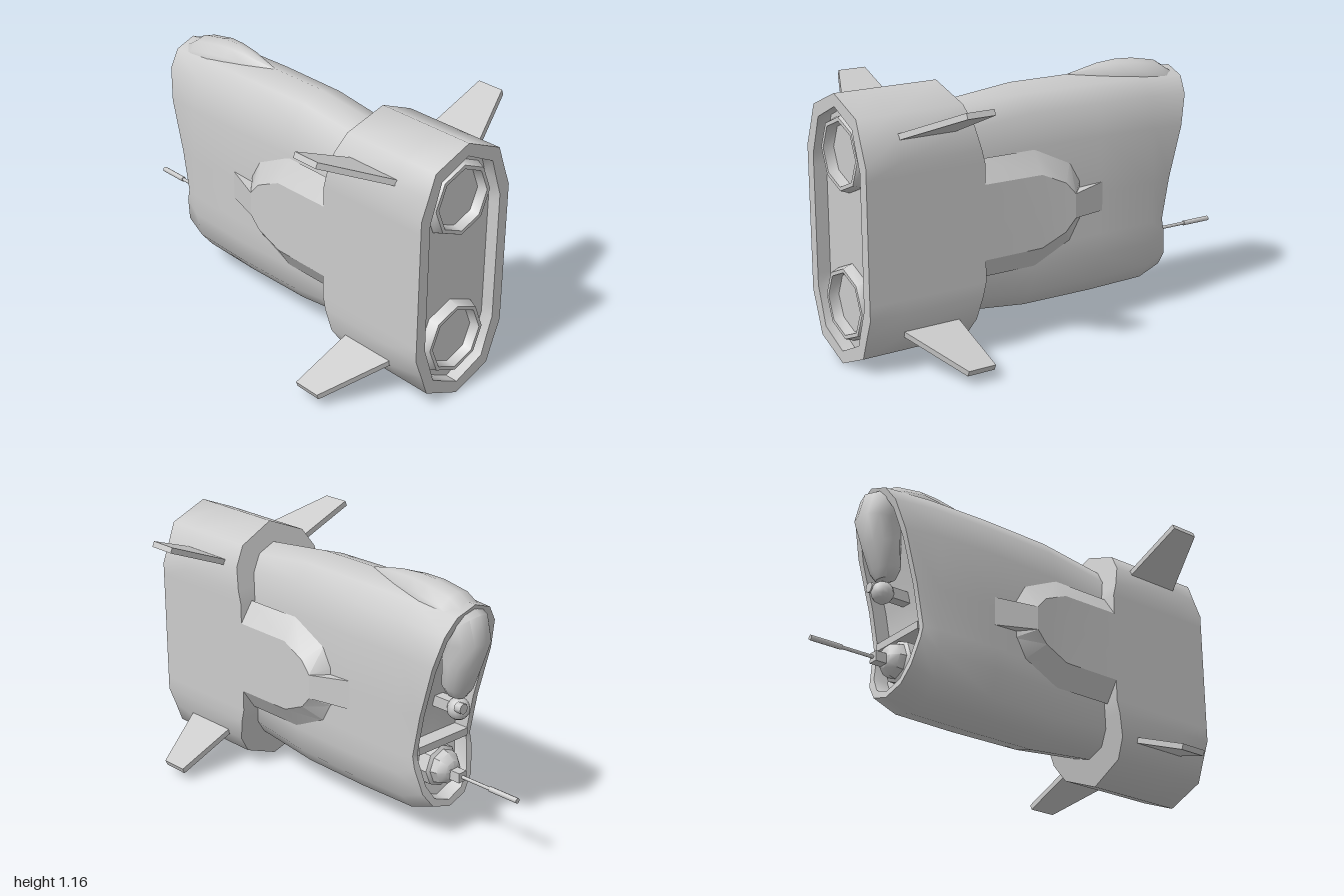
import * as THREE from 'three';
import { toCreasedNormals } from 'three/addons/utils/BufferGeometryUtils.js';

const MAT = new THREE.MeshStandardMaterial({ color: 0xcccccc, side: THREE.DoubleSide });

// Skin a list of closed rings of [x, y, z]; faces are turned outward by signed volume
function loft(rings, crease = 0.85) {
  const n = rings[0].length, tris = [];
  for (let r = 0; r < rings.length - 1; r++) {
    for (let i = 0; i < n; i++) {
      const j = (i + 1) % n;
      const a = rings[r][i], b = rings[r][j], c = rings[r + 1][j], d = rings[r + 1][i];
      tris.push([a, b, c], [a, c, d]);
    }
  }
  const V = (p) => new THREE.Vector3(...p);
  let volume = 0;
  for (const [a, b, c] of tris) volume += V(a).dot(V(b).cross(V(c)));
  const pos = tris.flatMap(([a, b, c]) => (volume > 0 ? [a, b, c] : [a, c, b])).flat();
  const g = new THREE.BufferGeometry();
  g.setAttribute('position', new THREE.Float32BufferAttribute(pos, 3));
  return toCreasedNormals(g, crease);
}

// Reflect a geometry in x and restore its winding
function mirrorX(geometry) {
  const g = geometry.index ? geometry.toNonIndexed() : geometry.clone();
  g.scale(-1, 1, 1);
  for (const attr of Object.values(g.attributes)) {
    const s = attr.itemSize;
    for (let i = 0; i < attr.count; i += 3) {
      for (let k = 0; k < s; k++) {
        const p = (i + 1) * s + k, q = (i + 2) * s + k;
        [attr.array[p], attr.array[q]] = [attr.array[q], attr.array[p]];
      }
    }
  }
  return g;
}

// Complete a right-hand half outline (top to bottom) into a full ring
const fullRing = (half) => [...half, ...half.slice(1, -1).reverse().map(([x, y, z]) => [-x, y, z])];
const flatten = (ring) => ring.map(([, y, z]) => [0, y, z]);

// Piecewise linear lookup in [input, output] pairs
function lookup(table, v) {
  for (let i = 1; i < table.length; i++) {
    const [a, fa] = table[i - 1], [b, fb] = table[i];
    if (v <= b) return fa + (fb - fa) * Math.max(0, (v - a) / (b - a));
  }
  return table[table.length - 1][1];
}

export function createModel() {
  const model = new THREE.Group();
  const add = (name, geometry, x = 0, y = 0, z = 0) => {
    const mesh = new THREE.Mesh(geometry, MAT);
    mesh.name = name;
    mesh.position.set(x, y, z);
    model.add(mesh);
    return mesh;
  };
  const addPair = (name, geometry) => {
    add(name + 'Left', geometry);
    add(name + 'Right', mirrorX(geometry));
  };

  // Engine block: long octagonal section, slanted forward edge, recessed exhaust plate
  const slant = [[0, 0.52], [0.32, 0.44], [0.84, 0.44], [1.16, 0.52]];
  const engineRing = (bulge, zOf, sx = 1, sy = 1) => fullRing([
    [0, 1.16], [0.18, 1.085], [0.215 + bulge, 0.99 + bulge / 2], [0.25, 0.9], [0.25, 0.84],
    [0.25, 0.32], [0.25, 0.26], [0.215 + bulge, 0.17 - bulge / 2], [0.18, 0.075], [0, 0],
  ].map(([x, y]) => [x * sx, 0.58 + (y - 0.58) * sy, zOf(y)]));
  const engineNose = engineRing(0.02, (y) => lookup(slant, y));
  const plate = engineRing(0, () => 0.94, 0.8, 0.905);
  add('engineBlock', loft([
    flatten(engineNose), engineNose, engineRing(0.02, () => 0.84), engineRing(0, () => 1),
    engineRing(0, () => 1, 0.8, 0.905), plate, flatten(plate),
  ]));

  // Exhaust nozzles with a hollow bowl
  const bowl = [[0.172, -0.07], [0.17, 0], [0.155, 0.04], [0.138, 0.04], [0.13, -0.01],
    [0.108, -0.07], [0.065, -0.115], [0, -0.13]].map(([r, h]) => new THREE.Vector2(r, h));
  const nozzle = toCreasedNormals(new THREE.LatheGeometry(bowl, 8).rotateX(Math.PI / 2), 0.8);
  add('upperNozzle', nozzle, 0, 0.905, 0.945);
  add('lowerNozzle', nozzle, 0, 0.26, 0.945);

  // Hull: rounded slab ending in a raked, hollow nose
  const rake = [[0.1, -0.63], [0.25, -0.605], [0.41, -0.57], [0.6, -0.607], [0.97, -0.71], [1.1, -0.74]];
  const hullRing = (T, B, w, zOf) => fullRing([
    [0, T], [0.55 * w, T - 0.035], [0.85 * w, T - 0.11], [w, T - 0.25], [w, 0.6], [w, 0.41],
    [w, B + 0.22], [0.85 * w, B + 0.1], [0.55 * w, B + 0.03], [0, B],
  ].map(([x, y]) => [x, y, zOf(y)]));
  const hullStart = hullRing(1.06, 0.13, 0.165, () => 0.55);
  const recess = hullRing(1.055, 0.165, 0.15, (y) => lookup(rake, y) + 0.07);
  add('hull', loft([
    flatten(hullStart), hullStart,
    hullRing(1.105, 0.09, 0.185, () => 0.15),
    hullRing(1.105, 0.09, 0.198, () => -0.2),
    hullRing(1.1, 0.095, 0.195, () => -0.5),
    hullRing(1.085, 0.135, 0.178, (y) => lookup(rake, y)),
    hullRing(1.055, 0.165, 0.15, (y) => lookup(rake, y)),
    recess, flatten(recess),
  ]));
  add('noseShelf', new THREE.BoxGeometry(0.3, 0.035, 0.09), 0, 0.425, -0.535);

  // Cockpit pod: bends over the top of the nose; [z, y, tilt, half width, half height]
  const pod = [
    [-0.14, 1.1, 0, 0.002, 0.002], [-0.32, 1.05, 0, 0.06, 0.088], [-0.42, 1.045, 0, 0.085, 0.1],
    [-0.51, 1.04, 0.05, 0.106, 0.1], [-0.62, 1.02, 0.25, 0.11, 0.1], [-0.68, 0.97, 0.85, 0.108, 0.115],
    [-0.695, 0.92, 1.5, 0.1, 0.103], [-0.672, 0.82, 1.75, 0.087, 0.085], [-0.65, 0.71, 1.8, 0.072, 0.066],
    [-0.645, 0.67, 1.8, 0.045, 0.045], [-0.645, 0.66, 1.8, 0.001, 0.001],
  ].map(([z, y, tilt, w, h]) => Array.from({ length: 12 }, (_, i) => {
    const a = (i / 12) * Math.PI * 2, u = Math.cos(a) * h;
    return [Math.sin(a) * w, y + u * Math.cos(tilt), z - u * Math.sin(tilt)];
  }));
  add('cockpitPod', loft(pod));

  // Sensor ball under the pod
  add('sensorBall', new THREE.SphereGeometry(0.05, 12, 8), 0, 0.605, -0.66);
  add('sensorEye', new THREE.CylinderGeometry(0.024, 0.024, 0.035, 8).rotateX(Math.PI / 2), 0.025, 0.625, -0.695);
  add('sensorMount', new THREE.BoxGeometry(0.05, 0.05, 0.12), 0, 0.61, -0.59);

  // Gun turret with its barrel
  const dome = [[0.095, -0.05], [0.095, 0.03], [0.08, 0.04], [0.072, 0.07], [0.045, 0.1], [0, 0.108]]
    .map(([r, h]) => new THREE.Vector2(r, h));
  add('gunDome', toCreasedNormals(new THREE.LatheGeometry(dome, 8).rotateX(-Math.PI / 2), 0.7), 0, 0.31, -0.54);
  add('gunBlock', new THREE.BoxGeometry(0.045, 0.045, 0.06), 0, 0.298, -0.665);
  const tube = (r, len) => new THREE.CylinderGeometry(r, r, len, 8).rotateX(Math.PI / 2);
  add('gunBarrel', tube(0.008, 0.18), 0, 0.298, -0.77);
  add('gunMuzzle', tube(0.012, 0.15), 0, 0.298, -0.925);

  // Side housings: outer face flush with the engine, bevelled down to the hull
  const faceHalf = [[0.44, 0.165], [0.15, 0.163], [0.03, 0.11], [-0.02, 0.055]];
  const footHalf = [[0.44, 0.26], [0.15, 0.26], [-0.04, 0.18], [-0.095, 0.09]];
  const outline = (half, xOf) => [
    ...half.map(([z, d]) => [xOf(z), 0.582 + d, z]),
    ...half.slice().reverse().map(([z, d]) => [xOf(z), 0.582 - d, z]),
  ];
  const face = outline(faceHalf, (z) => 0.25 + 0.01 * Math.max(0, (0.15 - z) / 0.17));
  const foot = outline(footHalf, () => 0.186);
  const middle = (ring) => ring.map(([x, , z]) => [x, 0.582, z]);
  addPair('sideHousing', loft([middle(foot), foot, face, middle(face)], 0.4));

  // Intake wedges tapering forward from the housings
  const wedge = new THREE.BoxGeometry(1, 1, 1);
  const p = wedge.attributes.position;
  for (let i = 0; i < p.count; i++) {
    const front = p.getZ(i) < 0, outer = p.getX(i) > 0, up = Math.sign(p.getY(i));
    p.setXYZ(i, outer ? (front ? 0.198 : 0.26) : 0.17, 0.582 + up * (front ? 0.066 : 0.055), front ? -0.21 : -0.02);
  }
  wedge.computeVertexNormals();
  addPair('intakeWedge', wedge);

  // Four swept fins, drawn as span against z then tilted outward
  const fin = (x, y, span, tilt) => {
    const s = new THREE.Shape([[-0.04, -0.57], [span, -0.57], [span, -0.7], [0, -0.84], [-0.04, -0.84]]
      .map(([a, b]) => new THREE.Vector2(a, b)));
    return new THREE.ExtrudeGeometry(s, { depth: 0.026, bevelEnabled: false })
      .translate(0, 0, -0.013).rotateX(-Math.PI / 2).rotateZ(tilt).translate(x, y, 0);
  };
  addPair('upperFin', fin(0.225, 1.0, 0.325, 0.39));
  addPair('lowerFin', fin(0.225, 0.17, 0.31, -0.39));

  return model;
}
